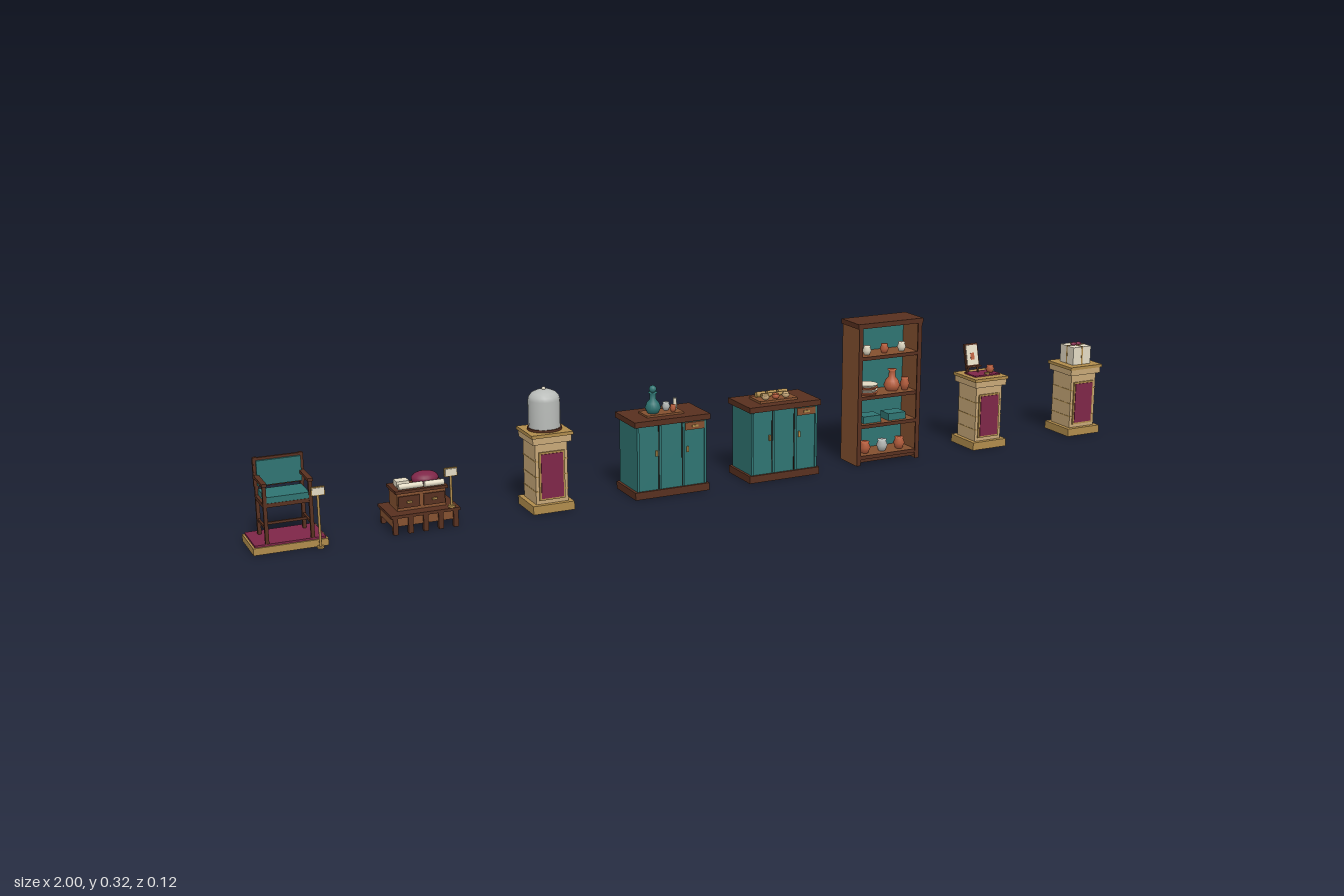
import * as THREE from 'three';

const mat = (name, color) => {
  const m = new THREE.MeshStandardMaterial({ color });
  m.name = name;
  return m;
};

export function createModel() {
  const M = {
    teal: mat('teal paint', 0x2f7472),
    dark: mat('dark wood', 0x58301f),
    wood: mat('warm wood', 0x84502f),
    stone: mat('sandstone', 0xc8a878),
    gold: mat('ochre trim', 0xb08c4c),
    plum: mat('plum cloth', 0x7e2648),
    cream: mat('cream paper', 0xe2dac4),
    silver: mat('silver glass', 0xb9bcb9),
    clay: mat('terracotta', 0xb85f3e),
    ink: mat('dark brown', 0x33190f),
  };
  const root = new THREE.Group();
  root.name = 'furnitureRow';

  const group = (name, x) => {
    const g = new THREE.Group();
    g.name = name;
    g.position.x = x;
    root.add(g);
    return g;
  };
  const add = (p, name, geo, m, x, y, z) => {
    const mesh = new THREE.Mesh(geo, m);
    mesh.name = name;
    mesh.position.set(x, y, z);
    p.add(mesh);
    return mesh;
  };
  // y is the underside for every helper
  const box = (p, name, m, w, h, d, x, y, z) =>
    add(p, name, new THREE.BoxGeometry(w, h, d), m, x, y + h / 2, z);
  const cyl = (p, name, m, r, h, x, y, z, r2 = r) =>
    add(p, name, new THREE.CylinderGeometry(r2, r, h, 16), m, x, y + h / 2, z);
  const lathe = (p, name, m, pts, x, y, z) =>
    add(p, name, new THREE.LatheGeometry(pts.map(([a, b]) => new THREE.Vector2(a, b)), 20), m, x, y, z);
  const vase = (p, name, m, s, x, y, z) =>
    lathe(p, name, m, [[0, 0], [0.5, 0], [0.72, 0.45], [0.55, 0.9], [0.3, 1.2], [0.28, 1.7], [0.42, 1.85], [0, 1.85]]
      .map(([a, b]) => [a * s, b * s]), x, y, z);
  const pot = (p, name, m, r, h, x, y, z) =>
    lathe(p, name, m, [[0, 0], [r * 0.6, 0], [r, h * 0.5], [r * 0.7, h * 0.85], [r * 0.8, h], [0, h]], x, y, z);
  const lying = (p, name, m, r, len, x, y, z) => {
    const c = cyl(p, name, m, r, len, x, y, z);
    c.position.y = y + r;
    c.rotation.z = Math.PI / 2;
    return c;
  };
  const sign = (p, x, y, h, z) => {
    cyl(p, 'signPost', M.gold, 0.0025, h, x, y, z);
    cyl(p, 'signFoot', M.gold, 0.007, 0.004, x, y, z);
    box(p, 'signFrame', M.gold, 0.027, 0.018, 0.004, x, y + h - 0.004, z);
    box(p, 'signPlate', M.cream, 0.023, 0.014, 0.002, x, y + h - 0.002, z + 0.003);
  };

  // Armchair on a carpeted platform
  const chair = group('armchair', -0.927);
  box(chair, 'platform', M.gold, 0.145, 0.014, 0.1, 0, 0, -0.008);
  box(chair, 'carpet', M.plum, 0.137, 0.004, 0.092, 0, 0.014, -0.008);
  box(chair, 'seatFrame', M.dark, 0.096, 0.008, 0.07, 0, 0.09, 0.002);
  box(chair, 'seatCushion', M.teal, 0.084, 0.012, 0.064, 0, 0.098, 0.004);
  for (const s of [-1, 1]) {
    box(chair, 'frontLeg', M.dark, 0.007, 0.118, 0.007, s * 0.044, 0.018, 0.034);
    box(chair, 'backPost', M.dark, 0.007, 0.155, 0.007, s * 0.044, 0.018, -0.032);
    box(chair, 'armrest', M.dark, 0.01, 0.006, 0.076, s * 0.044, 0.132, 0.002);
    box(chair, 'sideStretcher', M.dark, 0.004, 0.005, 0.066, s * 0.044, 0.045, 0.001);
  }
  box(chair, 'crossStretcher', M.dark, 0.088, 0.005, 0.004, 0, 0.045, 0);
  box(chair, 'backFrame', M.dark, 0.098, 0.058, 0.006, 0, 0.114, -0.032);
  for (const z of [-0.036, -0.027])
    box(chair, 'backUpholstery', M.teal, 0.086, 0.05, 0.006, 0, 0.117, z);
  sign(chair, 0.054, 0, 0.11, 0.052);

  // Low stepped display with cushion and scrolls
  const steps = group('steppedDisplay', -0.659);
  box(steps, 'lowerTier', M.wood, 0.134, 0.018, 0.086, 0, 0.016, -0.003);
  box(steps, 'lowerTop', M.dark, 0.142, 0.006, 0.096, 0, 0.034, -0.003);
  for (const x of [-0.062, -0.031, 0, 0.031, 0.062])
    for (const z of [-0.045, 0.039])
      box(steps, 'foot', M.dark, 0.01, 0.035, 0.01, x, 0, z);
  box(steps, 'upperTier', M.wood, 0.1, 0.038, 0.056, 0, 0.04, -0.01);
  box(steps, 'upperTop', M.dark, 0.108, 0.006, 0.064, 0, 0.076, -0.01);
  for (const x of [-0.026, 0.026]) {
    box(steps, 'drawerFront', M.dark, 0.044, 0.024, 0.004, x, 0.046, 0.019);
    box(steps, 'drawerPull', M.gold, 0.01, 0.004, 0.004, x, 0.056, 0.023);
  }
  const cushion = add(steps, 'roundCushion', new THREE.SphereGeometry(1, 20, 12), M.plum, 0.018, 0.093, -0.014);
  cushion.scale.set(0.028, 0.014, 0.024);
  lying(steps, 'scroll', M.cream, 0.006, 0.05, -0.02, 0.082, 0.012);
  lying(steps, 'scroll', M.cream, 0.006, 0.04, 0.028, 0.082, 0.014);
  box(steps, 'paperStack', M.cream, 0.026, 0.012, 0.024, -0.03, 0.082, -0.016);
  sign(steps, 0.056, 0.04, 0.068, 0.036);

  // Stone pedestals with coursed shafts
  const pedestal = (name, x, panel) => {
    const g = group(name, x);
    box(g, 'plinth', M.gold, 0.09, 0.018, 0.09, 0, 0, 0);
    box(g, 'shaft', M.stone, 0.07, 0.13, 0.07, 0, 0.018, 0);
    for (const y of [0.044, 0.075, 0.108])
      box(g, 'courseLine', M.gold, 0.0715, 0.002, 0.0715, 0, y, 0);
    box(g, 'capital', M.stone, 0.084, 0.014, 0.084, 0, 0.146, 0);
    box(g, 'capSlab', M.gold, 0.09, 0.007, 0.09, 0, 0.16, 0);
    if (panel) {
      box(g, 'panelFrame', M.gold, 0.056, 0.102, 0.003, 0, 0.026, 0.0365);
      box(g, 'frontPanel', M.plum, 0.048, 0.094, 0.003, 0, 0.03, 0.038);
    }
    return g;
  };

  const domeStand = pedestal('domePedestal', -0.388, true);
  cyl(domeStand, 'domeBase', M.dark, 0.036, 0.005, 0, 0.167, 0);
  lathe(domeStand, 'glassDome', M.silver,
    [[0.033, 0], [0.033, 0.058], [0.031, 0.066], [0.025, 0.073], [0.014, 0.078], [0, 0.08]], 0, 0.171, 0);
  add(domeStand, 'domeKnob', new THREE.SphereGeometry(0.004, 12, 8), M.cream, 0, 0.252, 0);

  // Shop counters
  const counter = (name, x) => {
    const g = group(name, x);
    box(g, 'base', M.dark, 0.172, 0.016, 0.1, 0, 0, -0.002);
    box(g, 'cabinet', M.teal, 0.16, 0.141, 0.09, 0, 0.016, -0.002);
    box(g, 'counterTop', M.dark, 0.174, 0.012, 0.104, 0, 0.157, -0.002);
    for (const s of [-0.078, -0.027, 0.027, 0.078])
      box(g, 'doorStile', M.teal, 0.005, 0.138, 0.004, s, 0.017, 0.044);
    for (const s of [-0.03, 0.024])
      box(g, 'doorGap', M.ink, 0.0015, 0.138, 0.002, s, 0.017, 0.0435);
    box(g, 'drawer', M.wood, 0.044, 0.016, 0.004, 0.053, 0.138, 0.0445);
    for (const s of [-0.036, 0.036]) box(g, 'handle', M.gold, 0.004, 0.012, 0.004, s, 0.09, 0.045);
    box(g, 'drawerPull', M.gold, 0.014, 0.004, 0.003, 0.053, 0.144, 0.047);
    return g;
  };

  const bar = counter('bottleCounter', -0.121);
  box(bar, 'tray', M.wood, 0.085, 0.004, 0.045, -0.005, 0.169, 0.002);
  vase(bar, 'bottle', M.teal, 0.024, -0.024, 0.173, 0.002);
  add(bar, 'stopper', new THREE.SphereGeometry(0.008, 14, 10), M.teal, -0.024, 0.224, 0.002);
  pot(bar, 'cup', M.silver, 0.009, 0.017, 0.01, 0.173, -0.006);
  pot(bar, 'cup', M.clay, 0.007, 0.015, 0.018, 0.173, 0.012);
  cyl(bar, 'candle', M.cream, 0.004, 0.024, 0.03, 0.173, -0.004);

  const desk = counter('platterCounter', 0.148);
  box(desk, 'platter', M.wood, 0.092, 0.005, 0.052, -0.004, 0.169, 0);
  for (let i = 0; i < 3; i++) {
    lying(desk, 'bread', M.gold, 0.006, 0.022, -0.03 + i * 0.027, 0.174, -0.012);
    pot(desk, 'bowl', i === 1 ? M.clay : M.stone, 0.009, 0.01, -0.03 + i * 0.025, 0.174, 0.012);
  }
  lying(desk, 'rollingPin', M.gold, 0.004, 0.06, -0.004, 0.176, 0);

  // Tall open shelf with pottery
  const shelf = group('tallShelf', 0.418);
  box(shelf, 'crown', M.dark, 0.166, 0.011, 0.075, 0, 0.312, 0);
  box(shelf, 'backPanel', M.teal, 0.146, 0.3, 0.006, 0, 0.014, -0.031);
  for (const s of [-1, 1]) {
    box(shelf, 'side', M.wood, 0.008, 0.312, 0.07, s * 0.077, 0, 0);
    box(shelf, 'sideTrim', M.dark, 0.01, 0.312, 0.003, s * 0.076, 0, 0.0355);
  }
  const levels = [0.014, 0.085, 0.15, 0.24];
  for (const y of levels) {
    box(shelf, 'shelfBoard', M.wood, 0.146, 0.007, 0.062, 0, y, 0.002);
    box(shelf, 'shelfEdge', M.dark, 0.146, 0.008, 0.003, 0, y - 0.0005, 0.034);
  }
  box(shelf, 'kickRail', M.dark, 0.146, 0.008, 0.004, 0, 0.006, 0.03);
  for (const [i, x] of [-0.045, 0, 0.045].entries()) {
    pot(shelf, 'lowPot', [M.clay, M.silver, M.clay][i], 0.013, 0.026, x, 0.021, 0.01);
    pot(shelf, 'topPot', [M.cream, M.clay, M.cream][i], 0.01, 0.02, x, 0.247, 0.01);
  }
  for (const x of [-0.035, 0.03]) box(shelf, 'foldedCloth', M.teal, 0.045, 0.016, 0.035, x, 0.092, 0.006);
  for (let i = 0; i < 4; i++)
    cyl(shelf, 'plate', i % 2 ? M.cream : M.clay, 0.021, 0.005, -0.042, 0.157 + i * 0.006, 0.008, 0.025);
  vase(shelf, 'tallVase', M.clay, 0.026, 0.026, 0.157, 0.004);
  pot(shelf, 'jar', M.clay, 0.011, 0.028, 0.055, 0.157, 0.012);

  // Pedestal with a leaning picture card
  const cardStand = pedestal('cardPedestal', 0.688, true);
  box(cardStand, 'cloth', M.plum, 0.068, 0.003, 0.044, 0.002, 0.167, 0.002);
  const easel = new THREE.Group();
  easel.name = 'pictureEasel';
  easel.position.set(-0.016, 0.17, -0.008);
  easel.rotation.x = -0.24;
  cardStand.add(easel);
  box(easel, 'pictureFrame', M.dark, 0.036, 0.054, 0.004, 0, 0.014, 0);
  box(easel, 'picture', M.cream, 0.03, 0.046, 0.002, 0, 0.018, 0.0025);
  box(easel, 'portrait', M.clay, 0.01, 0.016, 0.002, 0, 0.03, 0.0032);
  box(easel, 'ledge', M.dark, 0.038, 0.004, 0.01, 0, 0.012, 0.003);
  for (const s of [-1, 1]) box(easel, 'easelLeg', M.dark, 0.004, 0.066, 0.004, s * 0.015, 0, -0.003);
  const prop = box(easel, 'easelProp', M.dark, 0.004, 0.05, 0.003, 0, 0, -0.013);
  prop.rotation.x = 0.35;
  pot(cardStand, 'claypot', M.clay, 0.01, 0.016, 0.022, 0.17, 0.004);
  cyl(cardStand, 'coin', M.gold, 0.006, 0.003, 0.006, 0.17, 0.016);

  // Pedestal with a tied parcel
  const gift = pedestal('parcelPedestal', 0.957, true);
  box(gift, 'parcel', M.cream, 0.05, 0.042, 0.05, 0, 0.167, 0);
  box(gift, 'ribbonAcross', M.gold, 0.051, 0.043, 0.004, 0, 0.167, 0);
  box(gift, 'ribbonAlong', M.gold, 0.004, 0.043, 0.051, 0, 0.167, 0);
  for (const s of [-1, 1]) {
    const loop = add(gift, 'bowLoop', new THREE.SphereGeometry(1, 12, 8), M.plum, s * 0.007, 0.212, 0);
    loop.scale.set(0.008, 0.004, 0.005);
  }
  return root;
}
